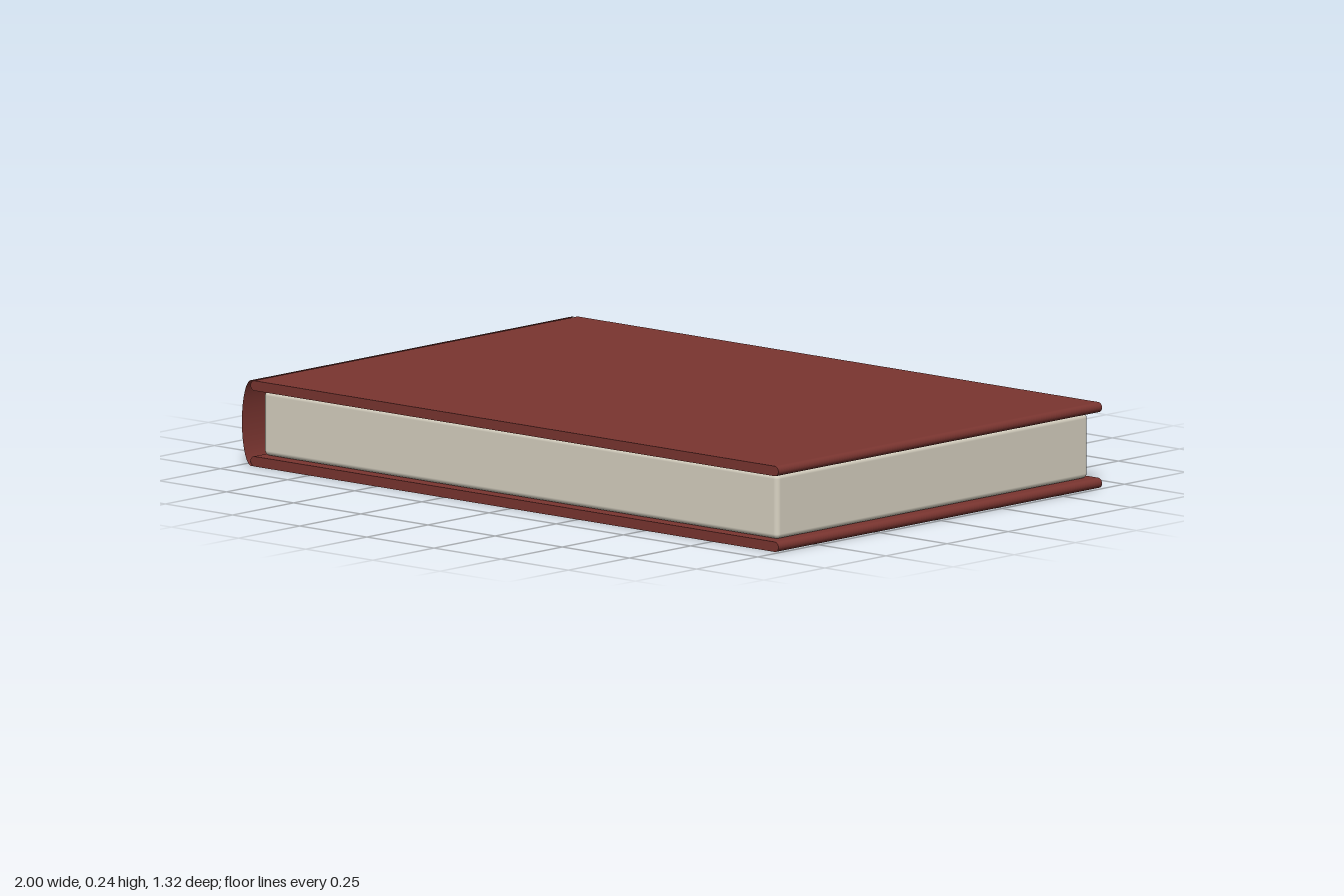
import * as THREE from 'three';
import { RoundedBoxGeometry } from 'three/addons/geometries/RoundedBoxGeometry.js';

const HALF_DEPTH = 0.662;
const HEIGHT = 0.24;
const BOARD = 0.028;

// Board with rounded long edges, extruded along z
function boardGeometry(left, right) {
  const r = BOARD / 2;
  const shape = new THREE.Shape();
  shape.moveTo(left + r, -r);
  shape.lineTo(right - r, -r);
  shape.absarc(right - r, 0, r, -Math.PI / 2, Math.PI / 2, false);
  shape.lineTo(left + r, r);
  shape.absarc(left + r, 0, r, Math.PI / 2, Math.PI * 1.5, false);
  const geometry = new THREE.ExtrudeGeometry(shape, {
    depth: HALF_DEPTH * 2, bevelEnabled: false, curveSegments: 8,
  });
  return geometry.translate(0, 0, -HALF_DEPTH);
}

export function createModel() {
  const book = new THREE.Group();
  book.name = 'book';
  const leather = new THREE.MeshStandardMaterial({ color: 0x7a3530 });
  const spineLeather = new THREE.MeshStandardMaterial({ color: 0x7a3530, side: THREE.DoubleSide });
  const paper = new THREE.MeshStandardMaterial({ color: 0xd9d3c3 });

  const add = (name, geometry, material, x, y) => {
    const mesh = new THREE.Mesh(geometry, material);
    mesh.name = name;
    mesh.position.set(x, y, 0);
    book.add(mesh);
    return mesh;
  };

  // Front and back covers
  const board = boardGeometry(-0.968, 0.997);
  add('frontCover', board, leather, 0, HEIGHT - BOARD / 2);
  add('backCover', board, leather, 0, BOARD / 2);

  // Page block, slightly inset from the covers
  add('pages', new RoundedBoxGeometry(1.914, 0.182, 1.274, 3, 0.014), paper, 0.013, HEIGHT / 2);

  // Thin hollow spine: half an elliptical tube, open at both ends
  const spine = new THREE.CylinderGeometry(1, 1, HALF_DEPTH * 2, 32, 1, true, Math.PI, Math.PI);
  spine.rotateX(Math.PI / 2);
  spine.scale(0.035, HEIGHT / 2, 1);
  add('spine', spine, spineLeather, -0.965, HEIGHT / 2);

  return book;
}
